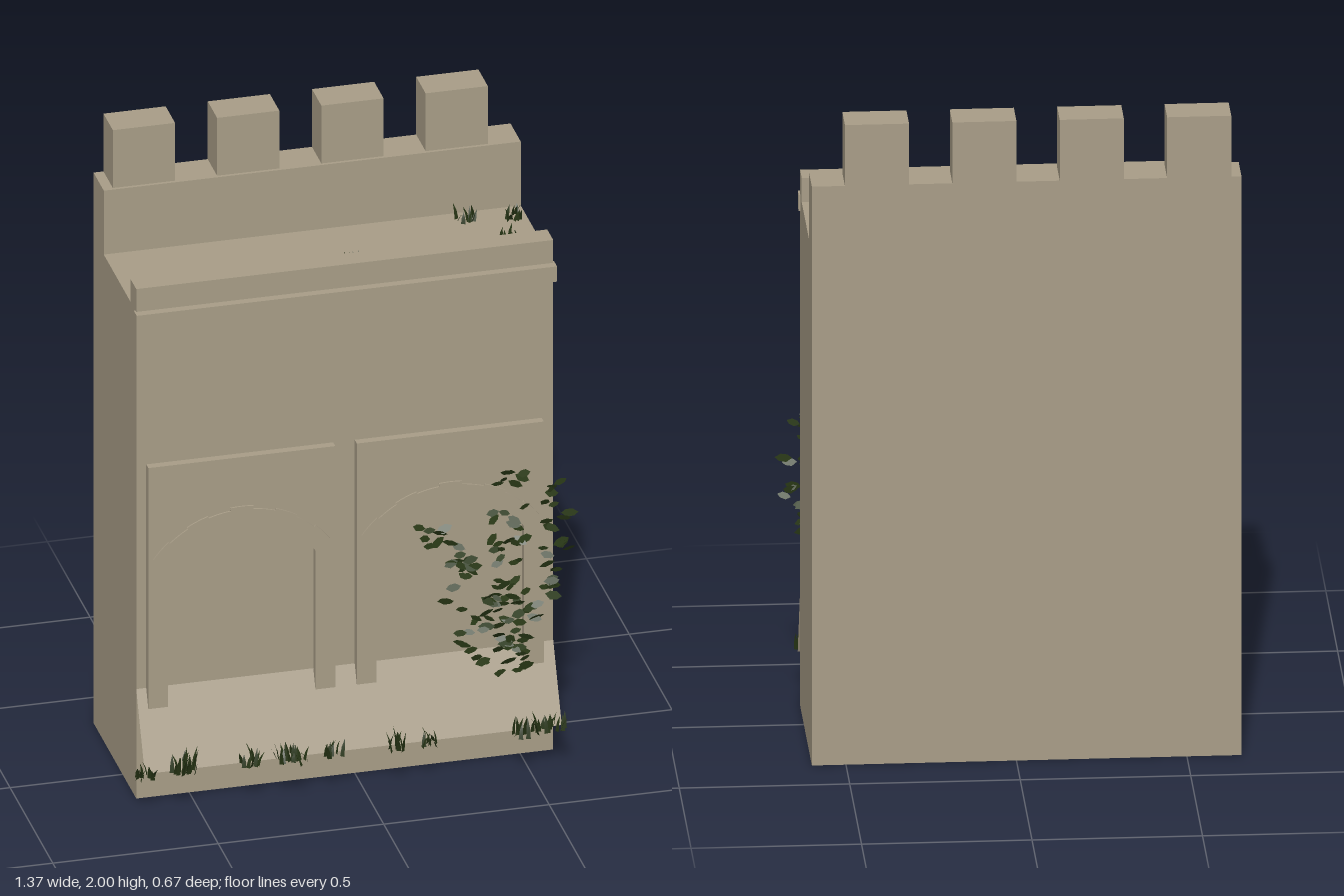
import * as THREE from 'three';
import { mergeGeometries } from 'three/addons/utils/BufferGeometryUtils.js';

const stone = new THREE.MeshStandardMaterial({ color: 0xa89d87 });
stone.name = 'stone';
const slopeStone = new THREE.MeshStandardMaterial({ color: 0xa89d87, side: THREE.DoubleSide });
slopeStone.name = 'slope stone';
const ivyGreen = new THREE.MeshStandardMaterial({ color: 0x2c3c18, side: THREE.DoubleSide });
ivyGreen.name = 'ivy green';
const grassGreen = new THREE.MeshStandardMaterial({ color: 0x263414, side: THREE.DoubleSide });
grassGreen.name = 'grass green';

const LEFT = 0.6, RIGHT = -0.66, FRONT = 0.16, BACK = -0.34;

function seeded(seed) {
  return () => (seed = (seed * 16807) % 2147483647) / 2147483647;
}

function add(parent, name, geometry, material) {
  const mesh = new THREE.Mesh(geometry, material);
  mesh.name = name;
  parent.add(mesh);
  return mesh;
}

function boxBetween(parent, name, x0, x1, y0, y1, z0, z1) {
  const mesh = add(parent, name, new THREE.BoxGeometry(x1 - x0, y1 - y0, z1 - z0), stone);
  mesh.position.set((x0 + x1) / 2, (y0 + y1) / 2, (z0 + z1) / 2);
  return mesh;
}

// Side profile (z, y) stretched across the width of the wall
function wallGeometry() {
  const profile = [[FRONT, 0], [BACK, 0], [BACK, 1.81], [-0.22, 1.81], [-0.22, 1.6],
    [0.09, 1.6], [0.09, 1.675], [FRONT, 1.675]];
  const shape = new THREE.Shape(profile.map(([z, y]) => new THREE.Vector2(-z, y)));
  return new THREE.ExtrudeGeometry(shape, { depth: LEFT - RIGHT, bevelEnabled: false })
    .rotateY(Math.PI / 2).translate(RIGHT, 0, 0);
}

// Raised panel with an arched recess and a ring of arch stones
function archBay(x0) {
  const bay = new THREE.Group();
  bay.name = 'archBay';
  bay.position.set(x0, 0, FRONT);
  const r = 0.273, cx = 0.2825, cy = 0.602, half = 0.953;
  const panel = new THREE.Shape();
  panel.moveTo(0, 0.13).lineTo(0.06, 0.13).lineTo(0.06, 0.76);
  panel.absarc(cx, cy, r, Math.PI / 2 + half, Math.PI / 2 - half, true);
  panel.lineTo(0.505, 0.13).lineTo(0.565, 0.13).lineTo(0.565, 1.095).lineTo(0, 1.095);
  add(bay, 'archPanel', new THREE.ExtrudeGeometry(panel,
    { depth: 0.025, bevelEnabled: false, curveSegments: 20 }), stone);

  const count = 9, step = (half * 2) / count;
  for (let i = 0; i < count; i++) {
    const a = Math.PI / 2 - half + i * step;
    const outer = r + (i === 4 ? 0.06 : i % 2 ? 0.05 : 0.056);
    const block = new THREE.Shape();
    block.absarc(cx, cy, outer, a, a + step, false);
    block.absarc(cx, cy, r, a + step, a, true);
    add(bay, 'archStone', new THREE.ExtrudeGeometry(block,
      { depth: 0.03, bevelEnabled: false, curveSegments: 4 }), stone);
  }
  return bay;
}

// Thin sloping sheet at the foot of the wall
function slopeGeometry() {
  const height = Math.hypot(0.23, 0.1);
  return new THREE.PlaneGeometry(LEFT - RIGHT, height)
    .rotateX(-Math.atan2(0.1, 0.23)).translate((LEFT + RIGHT) / 2, 0.245, 0.21);
}

// Pointed leaf, scattered round vine patches [x, y, halfWidth, halfHeight, leaves]
function ivyGeometry() {
  const rand = seeded(71);
  const leaf = new THREE.ShapeGeometry(new THREE.Shape([[-0.022, 0], [-0.006, -0.012],
    [0.014, -0.008], [0.024, 0.002], [0.008, 0.012], [-0.01, 0.01]]
    .map(([x, y]) => new THREE.Vector2(x, y))));
  const patches = [[0.47, 0.93, 0.05, 0.04, 6], [0.58, 0.85, 0.04, 0.05, 6],
    [0.23, 0.77, 0.06, 0.035, 9], [0.45, 0.78, 0.06, 0.07, 12], [0.31, 0.64, 0.05, 0.1, 18],
    [0.43, 0.62, 0.05, 0.1, 18], [0.6, 0.65, 0.06, 0.14, 20], [0.46, 0.48, 0.08, 0.08, 26],
    [0.34, 0.42, 0.05, 0.1, 12], [0.47, 0.35, 0.06, 0.07, 18], [0.45, 0.12, 0.04, 0.02, 5]];
  const leaves = [];
  for (const [x, y, w, h, n] of patches) {
    for (let i = 0; i < n; i++) {
      const px = x + (rand() * 2 - 1) * w;
      const size = 0.7 + rand() * 0.45;
      const z = (px > LEFT ? 0.155 : 0.193) + rand() * 0.014;
      leaves.push(leaf.clone().scale(size, size, size).rotateZ((rand() - 0.6) * 1.1)
        .rotateX((rand() - 0.5) * 1.3).rotateY((rand() - 0.5) * 1.1)
        .translate(px, y + (rand() * 2 - 1) * h, z));
    }
  }
  return mergeGeometries(leaves);
}

// Tuft of bent, tapering blades
function tuftGeometry(rand, height) {
  const blades = [];
  for (let i = 0; i < 10; i++) {
    const h = height * (0.55 + rand() * 0.45), w = 0.007;
    const lean = 0.008 + rand() * 0.016;
    const blade = new THREE.BufferGeometry();
    blade.setAttribute('position', new THREE.Float32BufferAttribute(
      [-w, 0, 0, w, 0, 0, -w * 0.7, h * 0.55, lean * 0.35, w * 0.7, h * 0.55, lean * 0.35, 0, h, lean], 3));
    blade.setIndex([0, 1, 2, 1, 3, 2, 2, 3, 4]);
    blade.computeVertexNormals();
    blades.push(blade.rotateY(rand() * Math.PI * 2)
      .translate((rand() - 0.5) * 0.05, 0, (rand() - 0.5) * 0.05));
  }
  return mergeGeometries(blades);
}

export function createModel() {
  const model = new THREE.Group();
  model.name = 'castleWall';

  add(model, 'wall', wallGeometry(), stone);
  boxBetween(model, 'ledge', RIGHT - 0.005, LEFT + 0.005, 1.55, 1.6, 0.15, 0.185);

  // Battlements along the back
  for (let i = 0; i < 4; i++) {
    const x = -0.63 + i * 0.315;
    boxBetween(model, 'merlon', x, x + 0.188, 1.81, 2, BACK, -0.23);
  }

  model.add(archBay(-0.63), archBay(0));
  add(model, 'footSlope', slopeGeometry(), slopeStone);
  add(model, 'ivy', ivyGeometry(), ivyGreen);

  // Grass: x, y, z, height
  const rand = seeded(29);
  const tufts = [[-0.665, 0.13, 0.285, 0.06], [-0.56, 0.13, 0.28, 0.07], [-0.53, 0.13, 0.285, 0.08],
    [-0.345, 0.13, 0.275, 0.065], [-0.24, 0.13, 0.28, 0.065], [-0.2, 0.13, 0.31, 0.05],
    [-0.095, 0.13, 0.28, 0.065], [0.09, 0.13, 0.285, 0.075], [0.19, 0.13, 0.28, 0.055],
    [0.47, 0.13, 0.3, 0.08], [0.53, 0.13, 0.28, 0.06], [0.58, 0.13, 0.275, 0.055],
    [0.42, 1.6, -0.16, 0.05], [0.55, 1.6, -0.15, 0.045], [0.51, 1.6, 0, 0.055],
    [0.54, 1.6, 0.03, 0.05], [0.02, 1.6, 0.02, 0.05]];
  for (const [x, y, z, h] of tufts) {
    add(model, 'grassTuft', tuftGeometry(rand, h), grassGreen).position.set(x, y, z);
  }
  return model;
}
